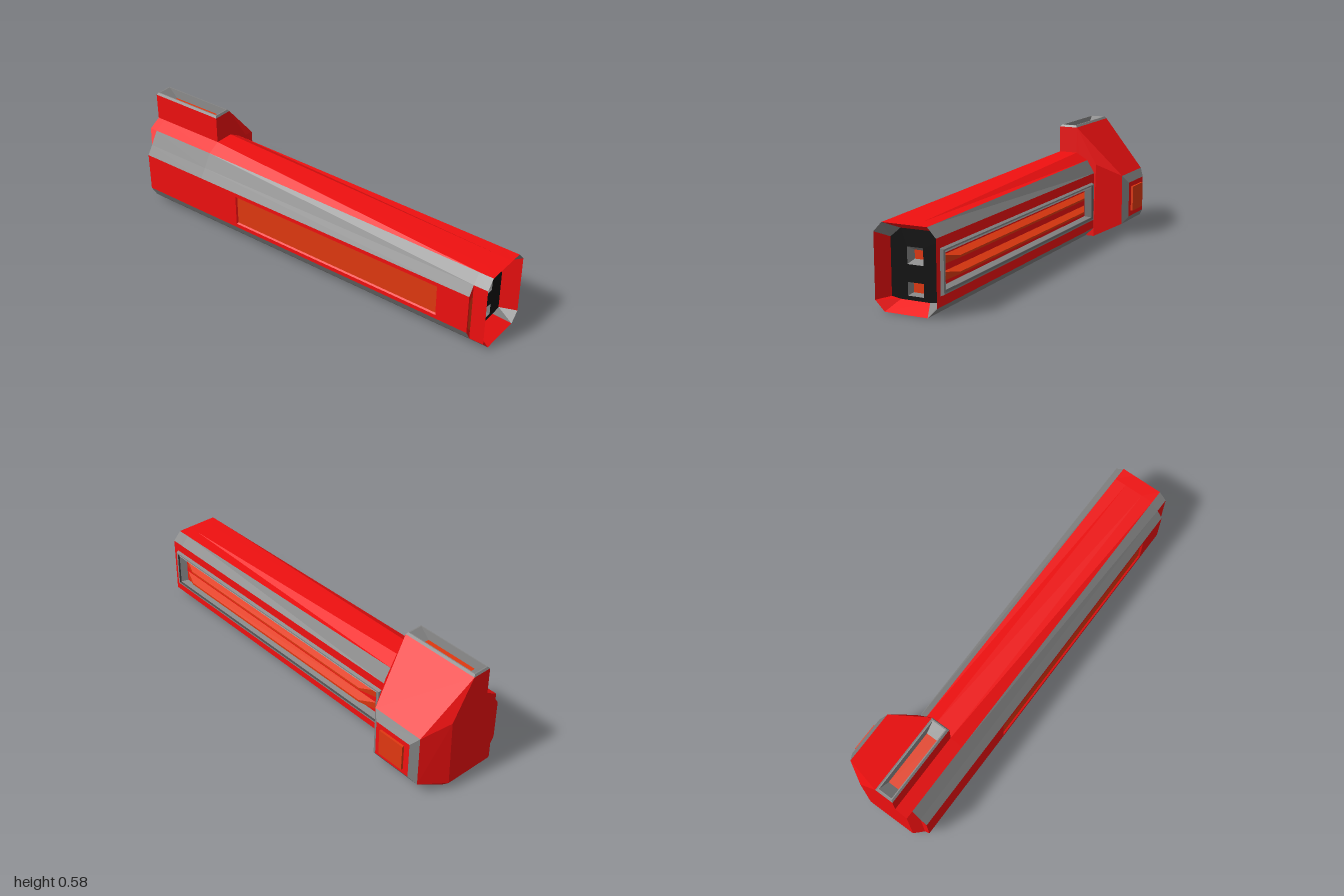
import * as THREE from 'three';
import { ConvexGeometry } from 'three/addons/geometries/ConvexGeometry.js';

const mat = (color) => new THREE.MeshStandardMaterial({ color, flatShading: true });
const RED = mat(0xf01010), GREY = mat(0x858585), BLACK = mat(0x111111), ORANGE = mat(0xe03810), DARK = mat(0x444444);

// Axis frames: u right, v up, d towards the viewer of that side
const FRONT = (u, v, d) => [u, v, d];
const LEFT = (u, v, d) => [d, v, -u];
const RIGHT = (u, v, d) => [-d, v, u];
const TOP = (u, v, d) => [u, d, -v];

// Collects flat quads per material and turns them into named meshes
class Part {
  constructor(name) {
    this.name = name;
    this.faces = new Map();
  }
  tri(m, a, b, c) {
    const [A, B, C] = [a, b, c].map((p) => new THREE.Vector3(...p));
    if (B.sub(A).cross(C.sub(A)).length() < 1e-8) return;
    if (!this.faces.has(m)) this.faces.set(m, []);
    this.faces.get(m).push(...a, ...b, ...c);
  }
  // Bridges two rings of equal length
  bridge(r0, r1, pick) {
    r0.forEach((a, i) => {
      const j = (i + 1) % r0.length, m = pick(i);
      if (!m) return;
      this.tri(m, a, r0[j], r1[j]);
      this.tri(m, a, r1[j], r1[i]);
    });
  }
  cap(m, ring) {
    for (let i = 1; i < ring.length - 1; i++) this.tri(m, ring[0], ring[i], ring[i + 1]);
  }
  // Nested rectangles [depth, u0, u1, v0, v1, material to the next]; the last one is capped
  rects(axis, list) {
    const rings = list.map(([d, u0, u1, v0, v1]) =>
      [axis(u0, v0, d), axis(u1, v0, d), axis(u1, v1, d), axis(u0, v1, d)]);
    for (let k = 0; k < rings.length - 1; k++) this.bridge(rings[k], rings[k + 1], () => list[k][5]);
    const last = list.length - 1;
    this.cap(list[last][5], rings[last]);
    return this;
  }
  build() {
    const g = new THREE.Group();
    g.name = this.name;
    for (const [m, pos] of this.faces) {
      const geo = new THREE.BufferGeometry();
      geo.setAttribute('position', new THREE.Float32BufferAttribute(pos, 3));
      geo.computeVertexNormals();
      const mesh = new THREE.Mesh(geo, m);
      mesh.name = this.name + 'Surface';
      g.add(mesh);
    }
    return g;
  }
}

// Cross-section of the long body; the bulge on its right side is optional
function section(z, bulge) {
  const k = Math.min(1, (1 - z) / 1.6);
  const t1 = 0.378 + 0.022 * k, t2 = 0.378 + 0.057 * k;
  return [
    [-0.17, 0], [0.035, 0], [0.08, 0.045], [0.08, 0.335], [0.04, t1], [-0.02, t2], [-0.115, t2], [-0.175, t1],
    [-0.215, 0.335], bulge ? [-0.245, 0.29] : [-0.215, 0.335],
    bulge ? [-0.245, 0.095] : [-0.215, 0.045], [-0.215, 0.045],
  ].map(([x, y]) => [x, y, z]);
}

function makeBody() {
  const body = new Part('body');
  const back = section(-0.96, false).map(([x, y]) => [Math.max(x, -0.175), Math.max(y, 0.04), -1]);
  const panel = [
    [-0.14, 0.038], [0, 0.038], [0.05, 0.045], [0.05, 0.3], [0.005, 0.342], [-0.02, 0.342], [-0.115, 0.342],
    [-0.135, 0.342], [-0.185, 0.3], [-0.185, 0.3], [-0.185, 0.045], [-0.185, 0.045],
  ].map(([x, y]) => [x, y, 0.92]);
  const rings = [back, section(-0.96, false), section(-0.96, true), section(-0.6, true),
    section(0.93, true), section(0.93, false), section(1, false), panel];
  const greyOn = [[0, 1], [], [1, 3, 7, 8, 10, 11], [1, 3, 7, 8, 10, 11], [], [1, 3, 7, 8, 10, 11], [1, 3, 7]];
  for (let s = 0; s < rings.length - 1; s++) {
    body.bridge(rings[s], rings[s + 1], (i) => {
      if (i === 9 && (s === 2 || s === 3)) return null; // open for the right panel
      if (i === 2 && s >= 3 && s <= 5) return null; // open for the left grille
      return greyOn[s].includes(i) ? GREY : RED;
    });
  }
  body.cap(RED, back.slice().reverse());
  return body.build();
}

// Recessed black face with two sockets
function makeFrontFace() {
  const g = new THREE.Group();
  g.name = 'frontFace';
  const shape = new THREE.Shape([[-0.14, 0.038], [0, 0.038], [0.05, 0.045], [0.05, 0.3], [0.005, 0.342],
    [-0.135, 0.342], [-0.185, 0.3], [-0.185, 0.045]].map((p) => new THREE.Vector2(...p)));
  const sockets = [
    [[-0.106, -0.029, 0.191, 0.266], [-0.088, -0.047, 0.209, 0.248]],
    [[-0.106, -0.029, 0.056, 0.115], [-0.096, -0.037, 0.064, 0.107]],
  ];
  for (const [o, n] of sockets) {
    const [a, b, c, d] = o;
    shape.holes.push(new THREE.Path([[a, c], [a, d], [b, d], [b, c]].map((p) => new THREE.Vector2(...p))));
    g.add(new Part('socket').rects(FRONT, [[0.92, ...o, GREY], [0.89, ...n, ORANGE]]).build());
  }
  const face = new THREE.Mesh(new THREE.ShapeGeometry(shape), BLACK);
  face.position.z = 0.92;
  face.name = 'blackFace';
  g.add(face);
  return g;
}

export function createModel() {
  const model = new THREE.Group();
  model.name = 'device';
  model.add(makeBody(), makeFrontFace());

  // Long framed grille with two rails on the left side
  model.add(new Part('grilleFrame').rects(LEFT, [
    [0.08, -1, 0.6, 0.045, 0.335, RED],
    [0.08, -0.97, 0.57, 0.09, 0.29, GREY],
    [0.094, -0.965, 0.565, 0.096, 0.284, GREY],
    [0.094, -0.955, 0.555, 0.103, 0.277, DARK],
    [0.084, -0.952, 0.552, 0.106, 0.274, GREY],
    [0.09, -0.945, 0.545, 0.112, 0.268, GREY],
    [0.06, -0.925, 0.525, 0.12, 0.26, RED],
  ]).build());
  for (const y of [0.157, 0.227]) {
    model.add(new Part('grilleRail').rects(LEFT, [
      [0.06, -0.92, 0.52, y - 0.02, y + 0.02, ORANGE],
      [0.095, -0.83, 0.44, y - 0.005, y + 0.005, ORANGE],
    ]).build());
  }

  // Inlaid panel on the right side, and the slot at the bulge's front end
  model.add(new Part('rightPanel').rects(RIGHT, [
    [0.245, -0.96, 0.93, 0.095, 0.29, RED],
    [0.245, -0.38, 0.77, 0.115, 0.27, RED],
    [0.237, -0.375, 0.765, 0.12, 0.265, ORANGE],
  ]).build());
  const slot = new Part('bulgeSlot');
  slot.cap(ORANGE, [[-0.24, 0.12, 0.932], [-0.218, 0.09, 0.932], [-0.218, 0.29, 0.932], [-0.24, 0.26, 0.932]]);
  model.add(slot.build());

  // Upright fin with an open lit top
  model.add(new Part('fin').rects(TOP, [
    [0.42, -0.115, -0.02, 0.6, 1, RED],
    [0.566, -0.115, -0.02, 0.6, 1, GREY],
    [0.576, -0.107, -0.028, 0.606, 0.994, GREY],
    [0.576, -0.102, -0.033, 0.612, 0.988, GREY],
    [0.535, -0.096, -0.039, 0.665, 0.935, ORANGE],
  ]).build());

  // Faceted head reaching out to the left
  const pts = [];
  for (const [x, y] of [[-0.02, 0.566], [-0.02, 0.2], [0.09, 0.38]]) pts.push([x, y, -0.6], [x, y, -1]);
  for (const x of [0.03, 0.08]) pts.push([x, 0.001, -0.6], [x, 0.001, -0.96], [x, 0.04, -1]);
  for (const y of [0.065, 0.32]) pts.push([0.21, y, -0.665], [0.21, y, -0.935]);
  const head = new THREE.Mesh(new ConvexGeometry(pts.map((p) => new THREE.Vector3(...p))), RED);
  head.name = 'head';
  model.add(head);

  // Bevelled end of the head with its raised pad
  model.add(new Part('headCap').rects(LEFT, [
    [0.21, 0.665, 0.935, 0.065, 0.32, GREY],
    [0.235, 0.7, 0.9, 0.1, 0.28, RED],
    [0.235, 0.73, 0.87, 0.126, 0.255, ORANGE],
    [0.246, 0.73, 0.87, 0.126, 0.255, ORANGE],
  ]).build());
  return model;
}
